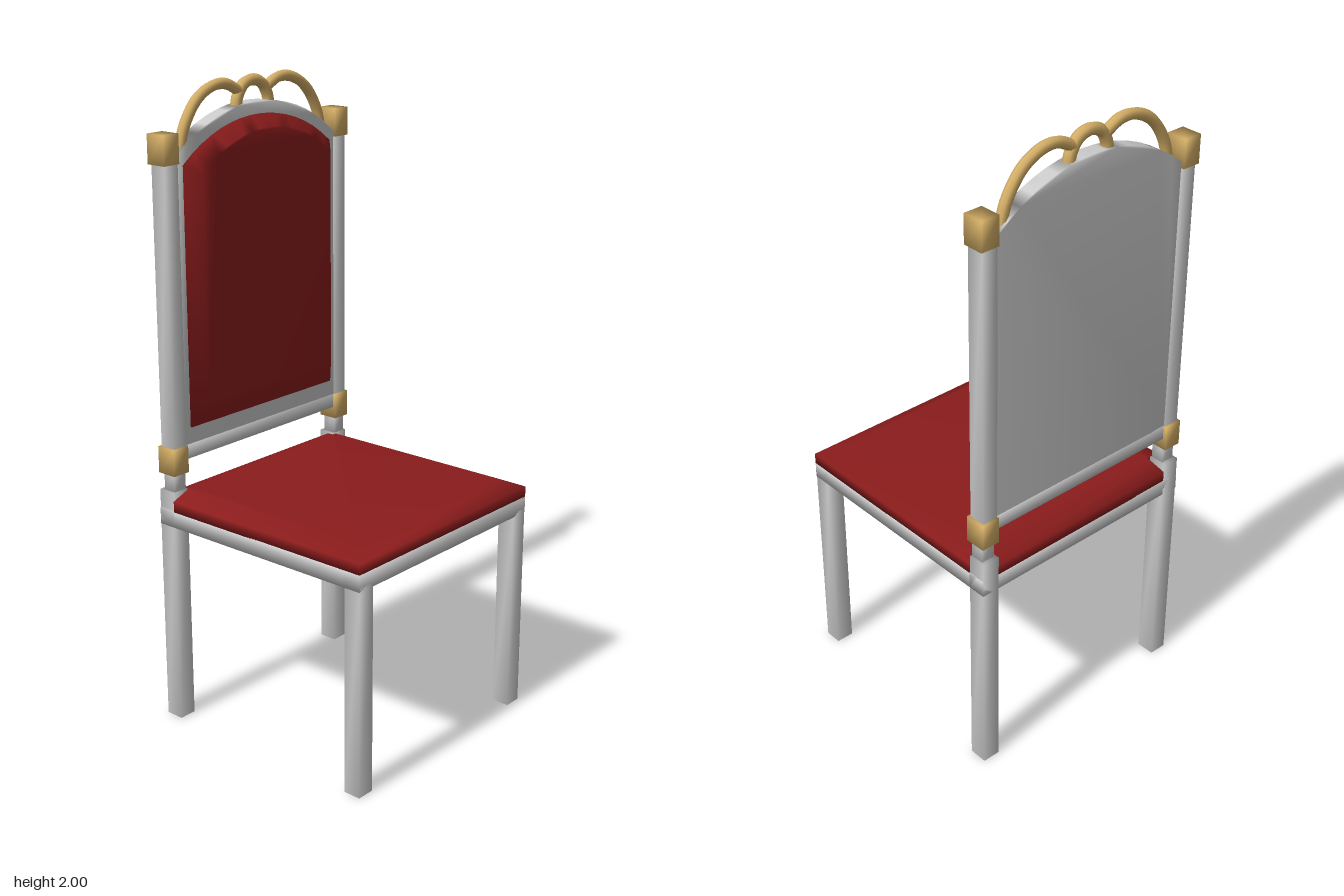
import * as THREE from 'three';
import { mergeVertices } from 'three/addons/utils/BufferGeometryUtils.js';

const frameMat = new THREE.MeshStandardMaterial({ color: 0xcccccc });
const redMat = new THREE.MeshStandardMaterial({ color: 0x8b1c1c });
const goldMat = new THREE.MeshStandardMaterial({ color: 0xd4ae66 });

// Share corner vertices so the shading rolls softly over the edges
function soften(geo) {
  geo.deleteAttribute('normal');
  geo.deleteAttribute('uv');
  const merged = mergeVertices(geo);
  merged.computeVertexNormals();
  return merged;
}

// Box given by its minimum and maximum corners
function block(name, mat, min, max) {
  const s = max.map((v, i) => v - min[i]);
  const mesh = new THREE.Mesh(soften(new THREE.BoxGeometry(...s)), mat);
  mesh.position.set(...max.map((v, i) => (v + min[i]) / 2));
  mesh.name = name;
  return mesh;
}

// Solid through counter-clockwise outlines stacked along z: [[z, [[x, y], ...]], ...]
function loft(rings) {
  const n = rings[0][1].length;
  const pos = [], idx = [];
  for (const [z, pts] of rings) for (const [x, y] of pts) pos.push(x, y, z);
  for (let r = 0; r < rings.length - 1; r++) {
    for (let i = 0; i < n; i++) {
      const a = r * n + i, b = r * n + (i + 1) % n;
      idx.push(a, b, b + n, a, b + n, a + n);
    }
  }
  const cap = (r, flip) => {
    const pts = rings[r][1].map(p => new THREE.Vector2(...p));
    for (const [a, b, c] of THREE.ShapeUtils.triangulateShape(pts, [])) {
      idx.push(...(flip ? [c, b, a] : [a, b, c]).map(i => i + r * n));
    }
  };
  cap(0, true);
  cap(rings.length - 1, false);
  const geo = new THREE.BufferGeometry();
  geo.setAttribute('position', new THREE.Float32BufferAttribute(pos, 3));
  geo.setIndex(idx);
  geo.computeVertexNormals();
  return geo;
}

// Upright panel outline with a circular arch on top
function archOutline(half, bottom, shoulder, top, steps = 16) {
  const rise = top - shoulder;
  const radius = (half * half + rise * rise) / (2 * rise);
  const pts = [[-half, bottom], [half, bottom]];
  for (let i = 0; i <= steps; i++) {
    const x = half * (1 - 2 * i / steps);
    pts.push([x, top - radius + Math.sqrt(radius * radius - x * x)]);
  }
  return pts;
}

// Seat outline with the two rear corners cut out for the posts; y points to the rear
function seatOutline(side, front, notchX, notchZ, rear) {
  return [[-side, -front], [side, -front], [side, notchZ], [notchX, notchZ],
    [notchX, rear], [-notchX, rear], [-notchX, notchZ], [-side, notchZ]];
}

export function createModel() {
  const chair = new THREE.Group();
  chair.name = 'chair';
  const add = (name, geo, mat) => {
    const mesh = new THREE.Mesh(geo, mat);
    mesh.name = name;
    chair.add(mesh);
    return mesh;
  };
  // Block on the left or right side, mirrored by s
  const sideBlock = (s, name, mat, [x0, y0, z0], [x1, y1, z1]) => chair.add(block(
    (s > 0 ? 'left' : 'right') + name, mat,
    [s > 0 ? x0 : -x1, y0, z0], [s > 0 ? x1 : -x0, y1, z1]));

  for (const s of [1, -1]) {
    // Legs and side rail
    sideBlock(s, 'FrontLeg', frameMat, [0.345, 0, 0.345], [0.403, 0.67, 0.402]);
    sideBlock(s, 'BackLeg', frameMat, [0.345, 0, -0.402], [0.403, 0.77, -0.342]);
    sideBlock(s, 'SeatRail', frameMat, [0.343, 0.657, -0.4], [0.405, 0.71, 0.402]);
    // Back posts with gold collars
    sideBlock(s, 'PostNeck', frameMat, [0.35, 0.765, -0.388], [0.396, 0.84, -0.344]);
    sideBlock(s, 'LowerCollar', goldMat, [0.344, 0.825, -0.402], [0.405, 0.91, -0.334]);
    sideBlock(s, 'BackPost', frameMat, [0.345, 0.9, -0.395], [0.397, 1.785, -0.34]);
    sideBlock(s, 'UpperCollar', goldMat, [0.344, 1.773, -0.402], [0.405, 1.862, -0.334]);
  }

  // Seat frame
  chair.add(block('frontSeatRail', frameMat, [-0.405, 0.657, 0.342], [0.405, 0.71, 0.402]));
  chair.add(block('backSeatRail', frameMat, [-0.405, 0.657, -0.402], [0.405, 0.71, -0.342]));
  chair.add(block('seatBoard', frameMat, [-0.36, 0.66, -0.36], [0.36, 0.708, 0.36]));

  // Seat cushion with sloped edges
  add('seatCushion', loft([
    [0.708, seatOutline(0.405, 0.402, 0.345, 0.342, 0.402)],
    [0.743, seatOutline(0.405, 0.402, 0.345, 0.342, 0.402)],
    [0.771, seatOutline(0.345, 0.345, 0.33, 0.335, 0.355)],
  ]), redMat).rotation.x = -Math.PI / 2;

  // Backrest panel, lower rail and padded cushion
  chair.add(block('backRail', frameMat, [-0.35, 0.863, -0.39], [0.35, 0.912, -0.345]));
  const panel = archOutline(0.348, 0.91, 1.79, 1.92);
  add('backPanel', loft([[-0.39, panel], [-0.343, panel]]), frameMat);
  add('backCushion', loft([
    [-0.35, archOutline(0.322, 0.963, 1.765, 1.882)],
    [-0.338, archOutline(0.322, 0.963, 1.765, 1.882)],
    [-0.3, archOutline(0.283, 1.045, 1.74, 1.845)],
  ]), redMat);

  // Gold crest: two mirrored hoops joined by a small centre arch
  const z = -0.367;
  const hoop = (name, pts, radius) => add(name, new THREE.TubeGeometry(
    new THREE.CatmullRomCurve3(pts.map(([x, y]) => new THREE.Vector3(x, y, z))),
    28, radius, 8), goldMat);
  for (const s of [1, -1]) {
    hoop(s > 0 ? 'leftCrestHoop' : 'rightCrestHoop',
      [[0.313, 1.79], [0.29, 1.87], [0.235, 1.945], [0.17, 1.978], [0.115, 1.98], [0.06, 1.955]]
        .map(([x, y]) => [s * x, y]), 0.017);
  }
  hoop('crestCentreArch',
    [[-0.072, 1.9], [-0.065, 1.935], [-0.04, 1.97], [0, 1.982],
      [0.04, 1.97], [0.065, 1.935], [0.072, 1.9]], 0.018);

  return chair;
}
